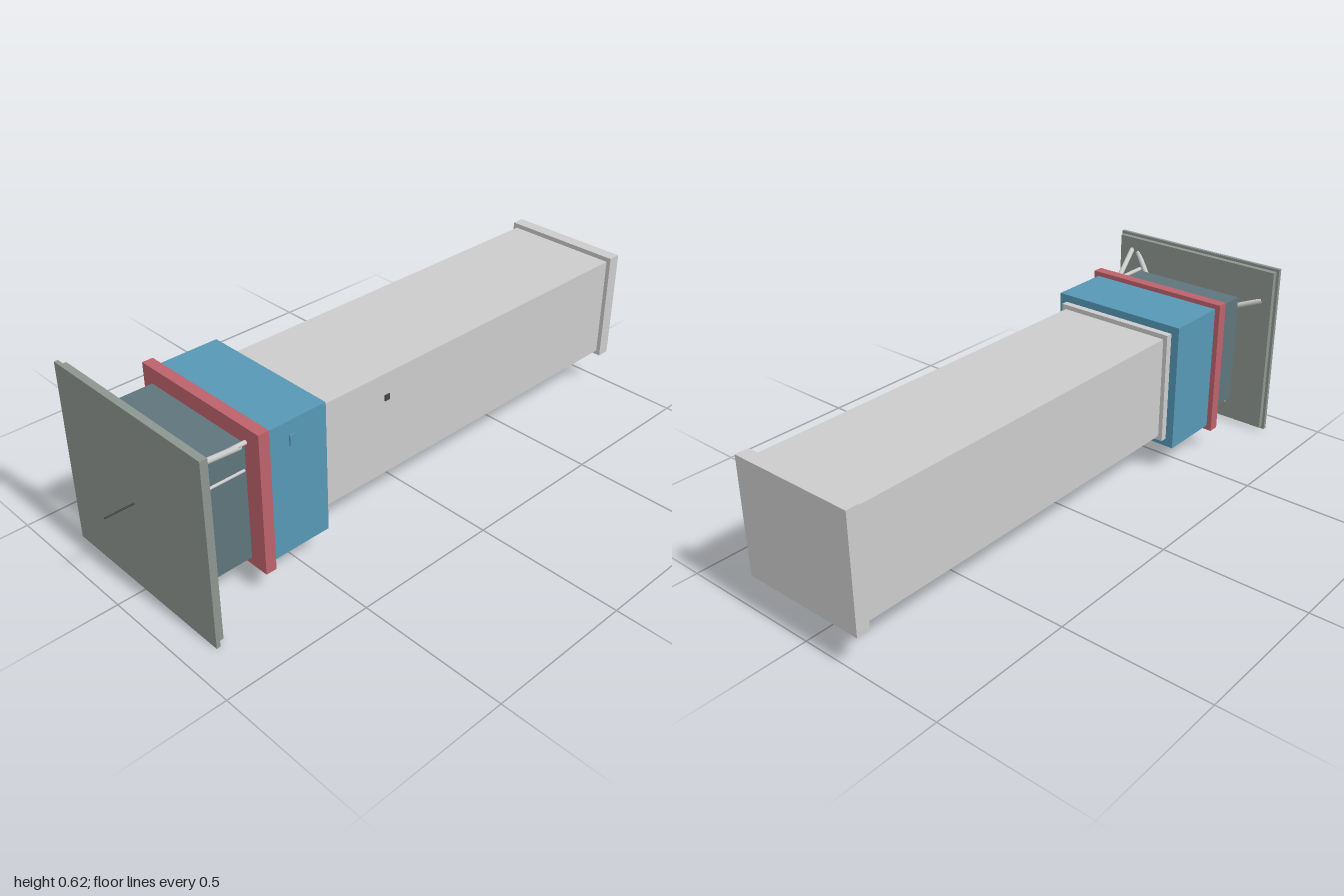
import * as THREE from 'three';

const GREY = 0xcccccc, PLATE = 0x8d9590, BLUE = 0x5697b5, RED = 0xbd626c, DARK = 0x5f757c, BLACK = 0x444444;

export function createModel() {
  const group = new THREE.Group();

  const add = (name, geometry, color) => {
    const mesh = new THREE.Mesh(geometry, new THREE.MeshStandardMaterial({ color }));
    mesh.name = name;
    group.add(mesh);
    return mesh;
  };
  // Box given by its extents along each axis
  const box = (name, color, [x0, x1], [y0, y1], [z0, z1]) =>
    add(name, new THREE.BoxGeometry(x1 - x0, y1 - y0, z1 - z0), color)
      .position.set((x0 + x1) / 2, (y0 + y1) / 2, (z0 + z1) / 2);
  // Round rod between two points
  const rod = (name, color, from, to, r) => {
    const a = new THREE.Vector3(...from), b = new THREE.Vector3(...to);
    const mesh = add(name, new THREE.CylinderGeometry(r, r, a.distanceTo(b), 12), color);
    mesh.position.copy(a).add(b).multiplyScalar(0.5);
    mesh.quaternion.setFromUnitVectors(new THREE.Vector3(0, 1, 0), b.sub(a).normalize());
  };

  // Long housing with its end collars
  box('housing', GREY, [-0.204, 0.204], [0.135, 0.494], [-0.96, 0.4]);
  box('rearCollar', GREY, [-0.219, 0.219], [0.12, 0.51], [-1, -0.955]);
  box('frontCollar', GREY, [-0.219, 0.219], [0.12, 0.51], [0.388, 0.418]);

  // Sleeve, flange and inner box
  box('sleeve', BLUE, [-0.247, 0.247], [0.092, 0.536], [0.412, 0.63]);
  box('flange', RED, [-0.265, 0.265], [0.076, 0.552], [0.63, 0.667]);
  box('innerBox', DARK, [-0.212, 0.212], [0.112, 0.506], [0.674, 0.84]);
  box('innerBoxNeck', DARK, [-0.2, 0.2], [0.122, 0.496], [0.66, 0.68]);

  // Front plate: thin face sheet on a slightly smaller backing
  box('faceSheet', PLATE, [-0.335, 0.335], [0, 0.622], [0.892, 0.905]);
  box('plateBacking', PLATE, [-0.325, 0.325], [0.01, 0.612], [0.873, 0.892]);
  rod('probe', BLACK, [0, 0.311, 0.9], [0, 0.311, 1], 0.003);

  // Struts holding the plate
  rod('cornerStrut', GREY, [0.21, 0.5, 0.69], [0.275, 0.565, 0.875], 0.009);
  rod('topRail', GREY, [0.215, 0.51, 0.672], [0.215, 0.51, 0.845], 0.007);
  rod('rightStrut', GREY, [0.15, 0.45, 0.835], [0.25, 0.56, 0.877], 0.009);
  rod('leftStrut', GREY, [-0.15, 0.45, 0.835], [-0.285, 0.5, 0.877], 0.009);

  // Thin rods along the faces of the inner box
  rod('sideRod', GREY, [0.212, 0.42, 0.68], [0.212, 0.42, 0.845], 0.005);
  rod('uprightRod', DARK, [0.212, 0.112, 0.805], [0.212, 0.42, 0.805], 0.004);
  rod('bottomRod', GREY, [-0.21, 0.112, 0.81], [0.21, 0.112, 0.81], 0.006);

  // Small ports on the right and bottom faces
  box('housingSidePort', BLACK, [0.2, 0.208], [0.4, 0.42], [0.12, 0.14]);
  box('housingBottomPort', BLACK, [0.09, 0.11], [0.131, 0.139], [0.12, 0.14]);
  box('sleeveSidePort', BLUE, [0.24, 0.252], [0.455, 0.49], [0.528, 0.548]);
  rod('sleeveBottomPort', BLUE, [0.14, 0.088, 0.538], [0.14, 0.1, 0.538], 0.012);

  return group;
}
